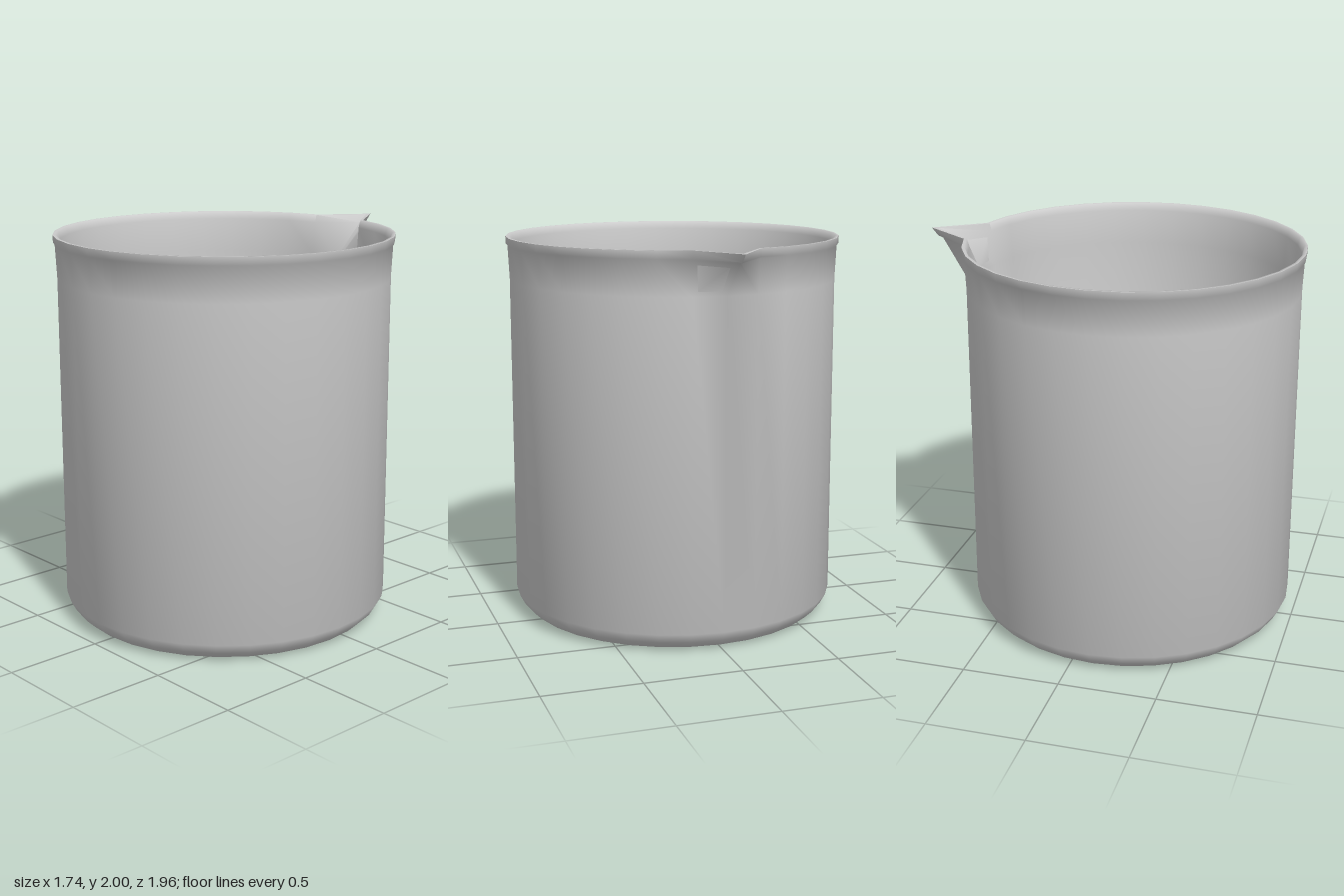
import * as THREE from 'three';
import { toCreasedNormals } from 'three/addons/utils/BufferGeometryUtils.js';

const CENTER_Z = 0.115; // the vessel sits forward so the spout balances it
const SIDES = 32;

// Each row: radius, height, and the radius it reaches at the spout (if any)
const PROFILE = [
  // outside, from the base up
  [0, 0], [0.745, 0], [0.785, 0.012], [0.825, 0.05], [0.852, 0.1],
  [0.85, 1.78], [0.858, 1.952, 1.035],
  // rim band
  [0.866, 1.96, 1.06], [0.868, 2, 1.095], [0.852, 2, 1.06],
  // inside, from the rim down
  [0.84, 1.96, 1.01], [0.828, 1.78], [0.828, 0.11], [0.8, 0.06], [0.74, 0.03], [0, 0.03],
];

export function createModel() {
  const group = new THREE.Group();
  group.name = 'beaker';

  const points = PROFILE.map(([r, y]) => new THREE.Vector2(r, y));
  const geometry = new THREE.LatheGeometry(points, SIDES);

  // Pull the rim out into a pointed spout along the single rearmost column
  const pos = geometry.attributes.position;
  const rearColumn = (SIDES / 2) * PROFILE.length;
  PROFILE.forEach(([, , spoutRadius], i) => {
    if (spoutRadius) pos.setZ(rearColumn + i, -spoutRadius);
  });
  geometry.deleteAttribute('uv');
  geometry.deleteAttribute('normal');

  const material = new THREE.MeshStandardMaterial({ color: 0xcccccc, side: THREE.DoubleSide });
  const vessel = new THREE.Mesh(toCreasedNormals(geometry, 1.3), material);
  vessel.name = 'vesselWithSpout';
  vessel.position.z = CENTER_Z;
  group.add(vessel);
  return group;
}
